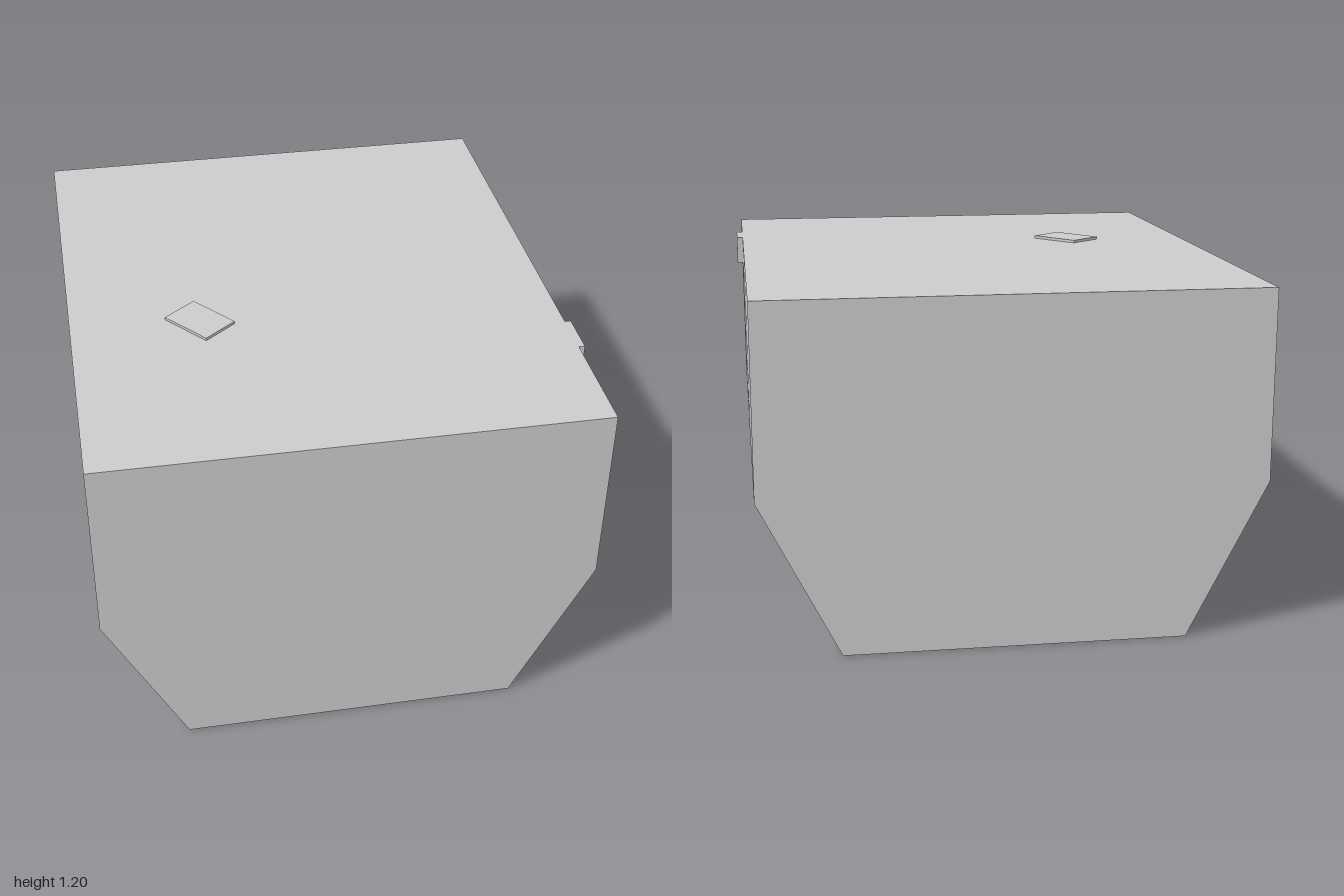
import * as THREE from 'three';
import { toCreasedNormals } from 'three/addons/utils/BufferGeometryUtils.js';

export function createModel() {
  const group = new THREE.Group();
  const material = new THREE.MeshStandardMaterial({ color: 0xcccccc });

  const add = (name, geometry) => {
    const mesh = new THREE.Mesh(geometry, material);
    mesh.name = name;
    group.add(mesh);
    return mesh;
  };

  // Box given by its [min, max] range on each axis
  const block = (name, [x0, x1], [y0, y1], [z0, z1]) => {
    const mesh = add(name, new THREE.BoxGeometry(x1 - x0, y1 - y0, z1 - z0));
    mesh.position.set((x0 + x1) / 2, (y0 + y1) / 2, (z0 + z1) / 2);
    return mesh;
  };

  // Hull: six-sided section, sides softly shaded across the chine
  const section = new THREE.Shape([
    [-0.59, 0], [0.57, 0], [0.843, 0.535], [0.843, 1.19], [-0.865, 1.19], [-0.865, 0.535],
  ].map(([x, y]) => new THREE.Vector2(x, y)));
  const hull = new THREE.ExtrudeGeometry(section, { depth: 2, bevelEnabled: false });
  hull.translate(0, 0, -1);
  add('hull', toCreasedNormals(hull, 0.7));

  // Parts let into the left side
  block('sidePanel', [0.38, 0.844], [0.6, 1.189], [-0.26, 0.435]);
  block('sideTab', [0.38, 0.865], [1.09, 1.19], [0.43, 0.59]);
  block('sideStrip', [0.34, 0.826], [0.495, 0.505], [-0.45, -0.29]);

  // Thin turned tile on the top
  const tile = block('topTile', [-0.513, -0.313], [1.18, 1.2], [0.142, 0.284]);
  tile.rotation.y = -0.89;

  return group;
}
